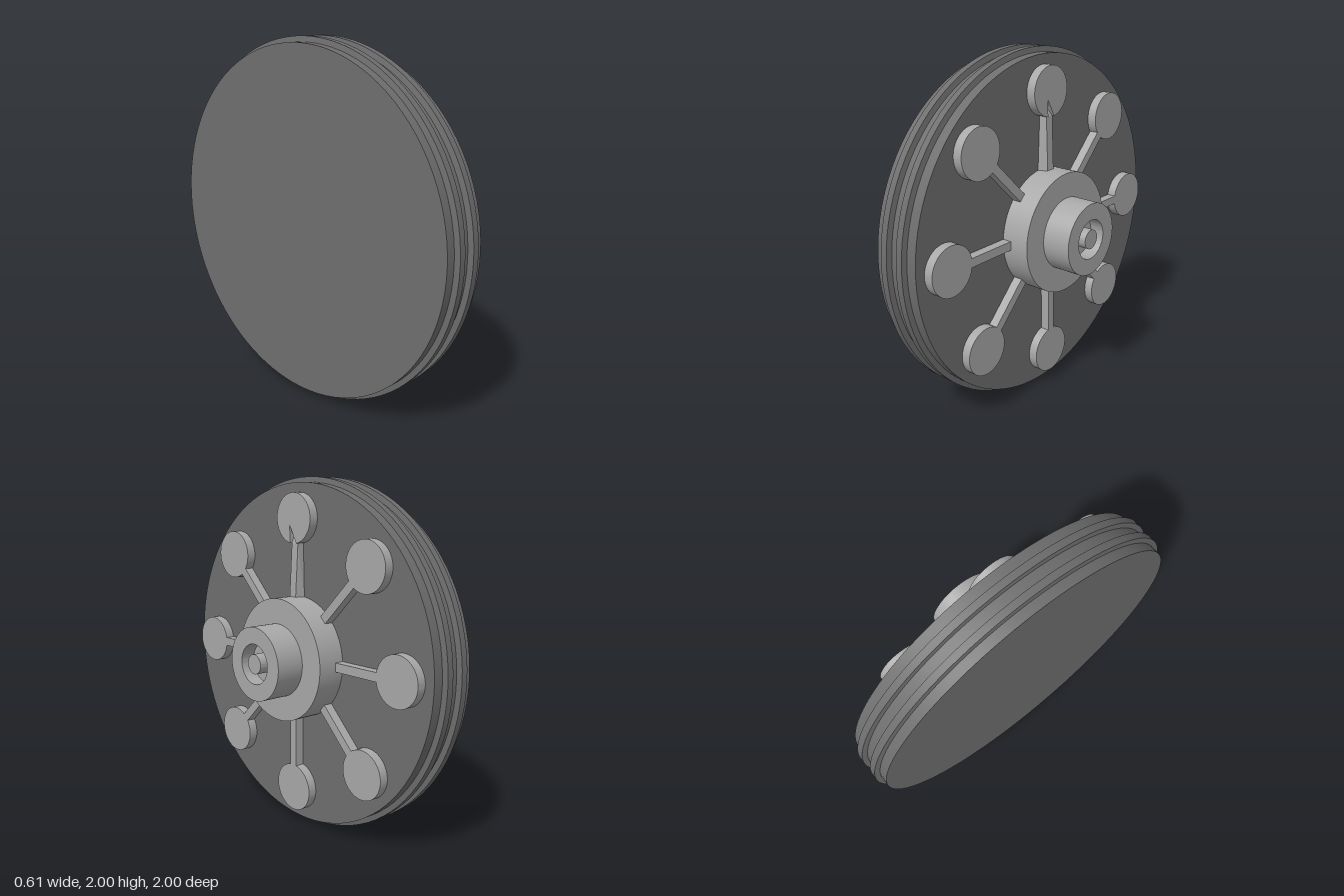
import * as THREE from 'three';
import { toCreasedNormals } from 'three/addons/utils/BufferGeometryUtils.js';
import { ConvexGeometry } from 'three/addons/geometries/ConvexGeometry.js';

const SEGMENTS = 96;
const PAD_DISTANCE = 0.777;
const PAD_RADIUS = 0.138;
const FACE = -0.03; // x of the disc's outer face
const RAISED = 0.023; // x of the raised spokes and pads

export function createModel() {
  const wheel = new THREE.Group();
  wheel.name = 'wheel';
  wheel.position.y = 1;

  const darkGrey = new THREE.MeshStandardMaterial({ color: 0x6e6e6e });
  darkGrey.name = 'dark grey';
  const lightGrey = new THREE.MeshStandardMaterial({ color: 0xa8a8a8 });
  lightGrey.name = 'light grey';

  function add(parent, name, geometry, material) {
    const mesh = new THREE.Mesh(geometry, material);
    mesh.name = name;
    parent.add(mesh);
    return mesh;
  }

  // Turned solid around the x axis, from [radius, x] pairs
  function turned(profile) {
    const points = profile.map(([r, x]) => new THREE.Vector2(r, x));
    const geometry = new THREE.LatheGeometry(points, SEGMENTS);
    geometry.rotateZ(-Math.PI / 2);
    return toCreasedNormals(geometry, 0.6);
  }

  // Disc with two raised bands around its rim
  add(wheel, 'rimDisc', turned([
    [0, -0.305], [0.97, -0.305],
    [0.97, -0.25], [1, -0.245], [1, -0.205], [0.97, -0.2],
    [0.97, -0.14], [1, -0.135], [1, -0.095], [0.97, -0.09],
    [0.97, FACE], [0, FACE],
  ]), darkGrey);

  // Hub, hollow boss and the pin in its recess
  add(wheel, 'hub', turned([
    [0, FACE], [0.345, FACE], [0.345, 0.135], [0, 0.135],
  ]), lightGrey);
  add(wheel, 'boss', turned([
    [0.205, 0.13], [0.205, 0.302], [0.112, 0.302], [0.112, 0.22], [0, 0.22],
  ]), lightGrey);
  add(wheel, 'axlePin', turned([
    [0.055, 0.2], [0.055, 0.302], [0, 0.302],
  ]), lightGrey);

  // Plain spoke and round pad
  const depth = RAISED - FACE;
  const middle = (RAISED + FACE) / 2;
  const spoke = new THREE.BoxGeometry(depth, 0.35, 0.05);
  spoke.translate(middle, 0.49, 0);
  const pad = turned([
    [0, FACE], [PAD_RADIUS, FACE], [PAD_RADIUS, RAISED], [0, RAISED],
  ]);
  pad.translate(0, PAD_DISTANCE, 0);

  // Top pad, with a pointed notch for the bent spoke
  const outline = new THREE.Shape();
  outline.absarc(0, 0, PAD_RADIUS, -Math.PI / 2 + 0.18, Math.PI * 1.5 - 0.18, false);
  outline.lineTo(-0.03, -0.037);
  outline.closePath();
  let notchedPad = new THREE.ExtrudeGeometry(outline, { depth, bevelEnabled: false, curveSegments: SEGMENTS });
  notchedPad.rotateY(Math.PI / 2);
  notchedPad.translate(FACE, PAD_DISTANCE, 0);
  notchedPad = toCreasedNormals(notchedPad, 0.6);

  // Top spoke, flared at the hub and drawn to a point in the notch
  const bentSpoke = new ConvexGeometry([
    [FACE, 0.33, -0.035], [FACE, 0.33, 0.05], [RAISED, 0.33, -0.02], [RAISED, 0.33, 0.03],
    [FACE, 0.65, -0.025], [FACE, 0.65, 0.025], [0.01, 0.64, -0.025], [0.01, 0.64, 0.025],
    [FACE, 0.738, 0.028],
  ].map((p) => new THREE.Vector3(...p)));

  // Eight arms, turned around the hub
  for (let i = 0; i < 8; i++) {
    const arm = new THREE.Group();
    arm.name = 'arm' + (i + 1);
    arm.rotation.x = (i * Math.PI) / 4;
    add(arm, 'spoke', i === 0 ? bentSpoke : spoke, lightGrey);
    add(arm, 'pad', i === 0 ? notchedPad : pad, lightGrey);
    wheel.add(arm);
  }

  const model = new THREE.Group();
  model.name = 'model';
  model.add(wheel);
  return model;
}
